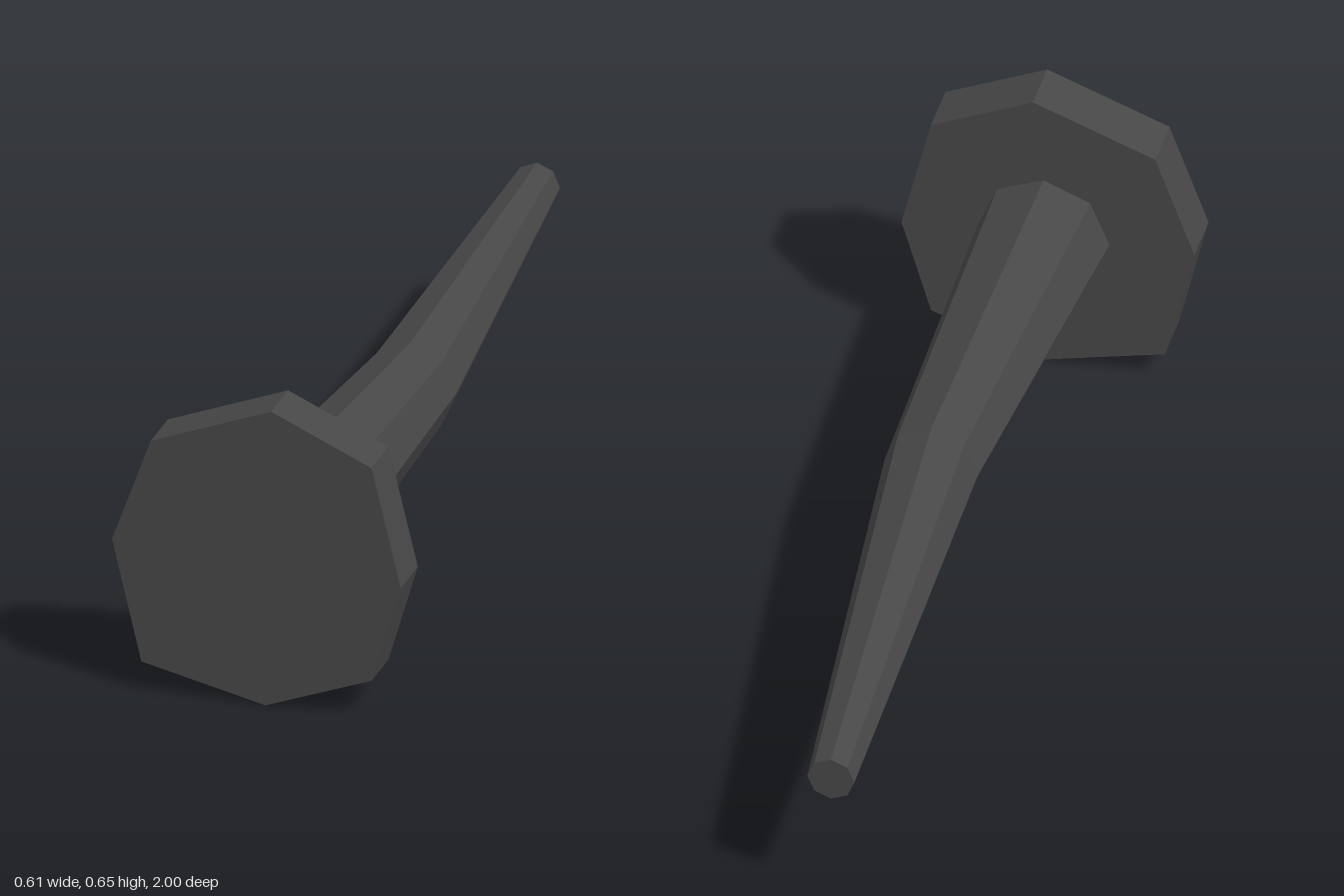
import * as THREE from 'three';

const AXIS_Y = 0.318;
const HEAD_BACK = 0.885;

// Irregular hand-cut octagon, extruded into the flat head
function makeHead(material) {
  const outline = [
    [0.03, 0.648], [-0.225, 0.551], [-0.307, 0.325], [-0.245, 0.063],
    [0.018, 0], [0.243, 0.083], [0.305, 0.295], [0.243, 0.551],
  ].map(([x, y]) => new THREE.Vector2(x, y));
  const geometry = new THREE.ExtrudeGeometry(new THREE.Shape(outline), {
    depth: 1 - HEAD_BACK, bevelEnabled: false,
  });
  const head = new THREE.Mesh(geometry, material);
  head.name = 'nailHead';
  head.position.z = HEAD_BACK;
  return head;
}

// Eight-sided tapering shank with one bend, blunt at the tip
function makeShank(material) {
  const sections = [
    { z: HEAD_BACK, x: 0.008, r: 0.1375 },
    { z: 0.07, x: 0.032, r: 0.098 },
    { z: -1, x: -0.034, r: 0.049 },
  ];
  const geometry = new THREE.CylinderGeometry(1, 1, 2, 8, 2);
  geometry.rotateX(Math.PI / 2);
  const p = geometry.attributes.position;
  for (let i = 0; i < p.count; i++) {
    const s = sections[Math.round(1 - p.getZ(i))];
    p.setXYZ(i, s.x + p.getX(i) * s.r, AXIS_Y + p.getY(i) * s.r, s.z);
  }
  geometry.computeVertexNormals();
  const shank = new THREE.Mesh(geometry, material);
  shank.name = 'nailShank';
  return shank;
}

export function createModel() {
  const iron = new THREE.MeshStandardMaterial({ color: 0x474747, flatShading: true });
  iron.name = 'darkIron';
  const nail = new THREE.Group();
  nail.name = 'bentNail';
  nail.add(makeHead(iron), makeShank(iron));
  return nail;
}
